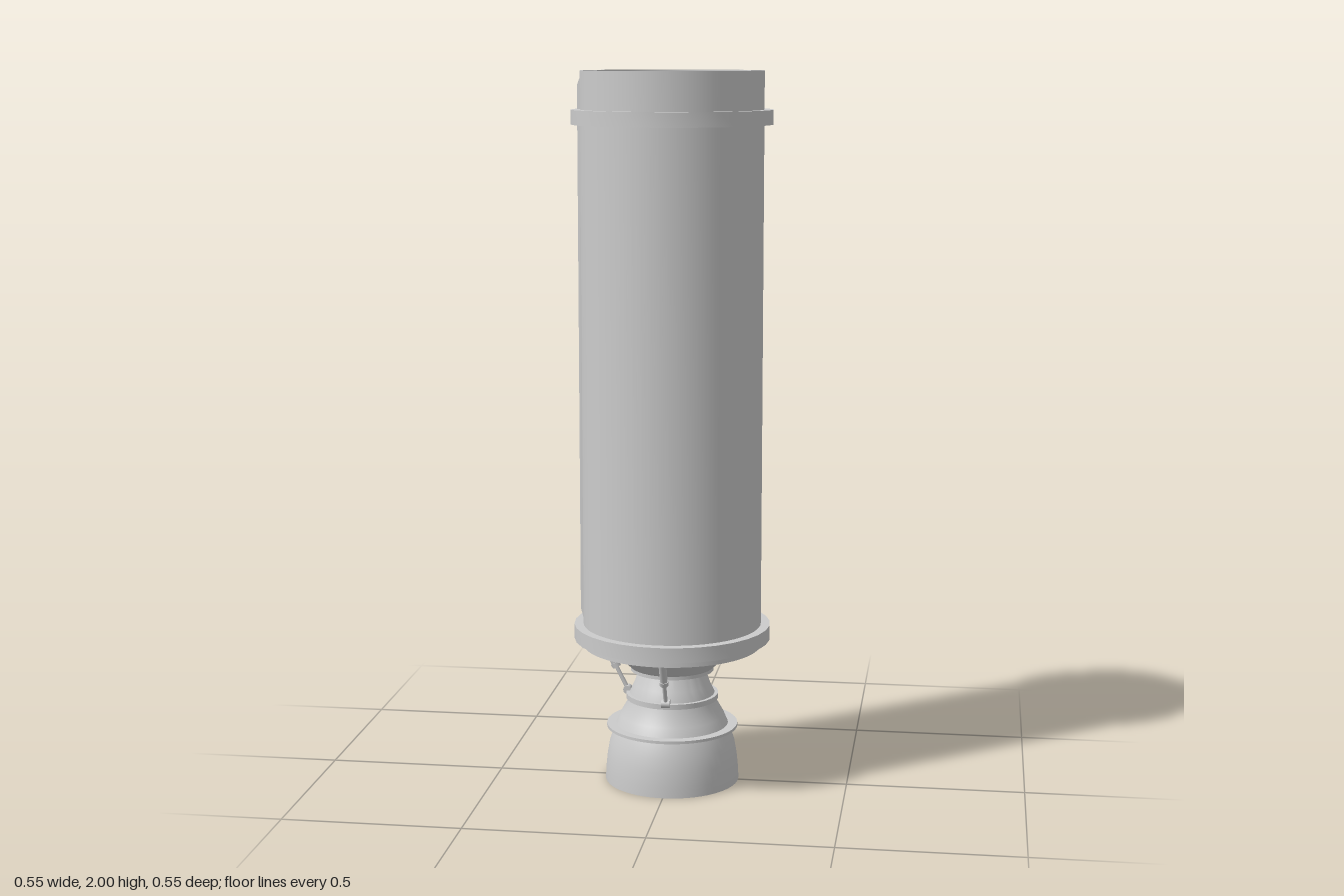
import * as THREE from 'three';
import { toCreasedNormals } from 'three/addons/utils/BufferGeometryUtils.js';

const grey = new THREE.MeshStandardMaterial({ color: 0xcccccc });
const greyDouble = new THREE.MeshStandardMaterial({ color: 0xcccccc, side: THREE.DoubleSide });

function addMesh(parent, name, geometry, material = grey) {
  const mesh = new THREE.Mesh(geometry, material);
  mesh.name = name;
  parent.add(mesh);
  return mesh;
}

// Turned part from [radius, height] pairs, running up the outside and down the inside
function turned(parent, name, profile, sides = 64, material = grey) {
  const points = profile.map(([r, y]) => new THREE.Vector2(r, y));
  return addMesh(parent, name, toCreasedNormals(new THREE.LatheGeometry(points, sides), 0.5), material);
}

// Square-section ring
function ring(parent, name, inner, outer, y0, y1, sides = 64) {
  return turned(parent, name, [[inner, y0], [outer, y0], [outer, y1], [inner, y1], [inner, y0]], sides);
}

// Straight round bar between two points
function bar(parent, name, a, b, radius) {
  const mesh = addMesh(parent, name, new THREE.CylinderGeometry(radius, radius, a.distanceTo(b), 12));
  mesh.position.copy(a).lerp(b, 0.5);
  mesh.quaternion.setFromUnitVectors(new THREE.Vector3(0, 1, 0), b.clone().sub(a).normalize());
  return mesh;
}

// Steering actuator lying in the +z plane, from the skirt down to the nozzle collar
function actuator(name) {
  const group = new THREE.Group();
  group.name = name;
  const top = new THREE.Vector3(0, 0.41, 0.205);
  const end = new THREE.Vector3(0, 0.255, 0.128);
  const mid = top.clone().lerp(end, 0.55);
  bar(group, 'actuatorCylinder', top, mid, 0.011);
  bar(group, 'actuatorRod', mid, end, 0.006);
  bar(group, 'actuatorGland', mid.clone().lerp(top, 0.08), mid.clone().lerp(end, 0.08), 0.013);
  const pin = addMesh(group, 'actuatorPin', new THREE.CylinderGeometry(0.012, 0.012, 0.024, 12));
  pin.rotation.z = Math.PI / 2;
  pin.position.copy(end);
  addMesh(group, 'actuatorBracket', new THREE.BoxGeometry(0.03, 0.02, 0.035)).position.set(0, 0.412, 0.21);
  return group;
}

export function createModel() {
  const rocket = new THREE.Group();
  rocket.name = 'rocketStage';

  // Casing with a thin open rim at the top and a hollow skirt at the bottom
  turned(rocket, 'casing', [
    [0.225, 0.395], [0.251, 0.395], [0.251, 2], [0.243, 2], [0.243, 1.93],
  ]);
  turned(rocket, 'skirtInside', [[0.225, 0.46], [0.225, 0.395]], 64, greyDouble);

  // Shallow dome closing the top
  const dome = [];
  for (let i = 0; i <= 8; i++) {
    const t = i / 8;
    dome.push([0.243 * (1 - t), 1.965 + 0.022 * (1 - (1 - t) ** 2)]);
  }
  turned(rocket, 'topDome', dome);

  // Joint flanges
  ring(rocket, 'upperFlange', 0.245, 0.277, 1.855, 1.895, 32);
  ring(rocket, 'lowerFlange', 0.245, 0.277, 0.415, 0.457, 32);

  // Cable duct on the right side, tapered at both ends
  const side = new THREE.Shape([
    [-0.245, 0.457], [-0.245, 1.985], [-0.252, 1.985], [-0.262, 1.96], [-0.262, 0.49], [-0.252, 0.457],
  ].map(([x, y]) => new THREE.Vector2(x, y)));
  const duct = new THREE.ExtrudeGeometry(side, { depth: 0.02, bevelEnabled: false });
  duct.translate(0, 0, -0.01);
  const p = duct.attributes.position;
  for (let i = 0; i < p.count; i++) if (p.getX(i) < -0.26) p.setZ(i, p.getZ(i) * 0.55);
  duct.computeVertexNormals();
  addMesh(rocket, 'cableDuct', duct);

  // Aft cone inside the skirt, narrowing to the nozzle throat
  turned(rocket, 'aftCone', [
    [0, 0.32], [0.118, 0.32], [0.118, 0.33], [0.15, 0.36], [0.185, 0.395], [0.21, 0.425], [0.226, 0.455],
  ], 64, greyDouble);

  // Nozzle: throat, collar and curved bell, with a wall thickness at the exit
  const bell = [[0.19, 0], [0.189, 0.03], [0.185, 0.07], [0.178, 0.11], [0.165, 0.15], [0.148, 0.19], [0.125, 0.23]];
  const inside = [[0.085, 0.28], [0.118, 0.23], [0.141, 0.19], [0.158, 0.15], [0.171, 0.11], [0.178, 0.07],
    [0.182, 0.03], [0.183, 0], [0.19, 0]];
  turned(rocket, 'nozzle', [...bell, [0.122, 0.25], [0.108, 0.28], [0.092, 0.325], [0, 0.325], [0, 0.28], ...inside],
    64, greyDouble);
  ring(rocket, 'throatCollar', 0.1, 0.131, 0.238, 0.253);
  ring(rocket, 'nozzleRing', 0.15, 0.186, 0.156, 0.164);

  // Two actuators a quarter turn apart, at the front and on the right
  const front = actuator('frontActuator');
  const right = actuator('rightActuator');
  right.rotation.y = -Math.PI / 2;
  rocket.add(front, right);

  return rocket;
}
